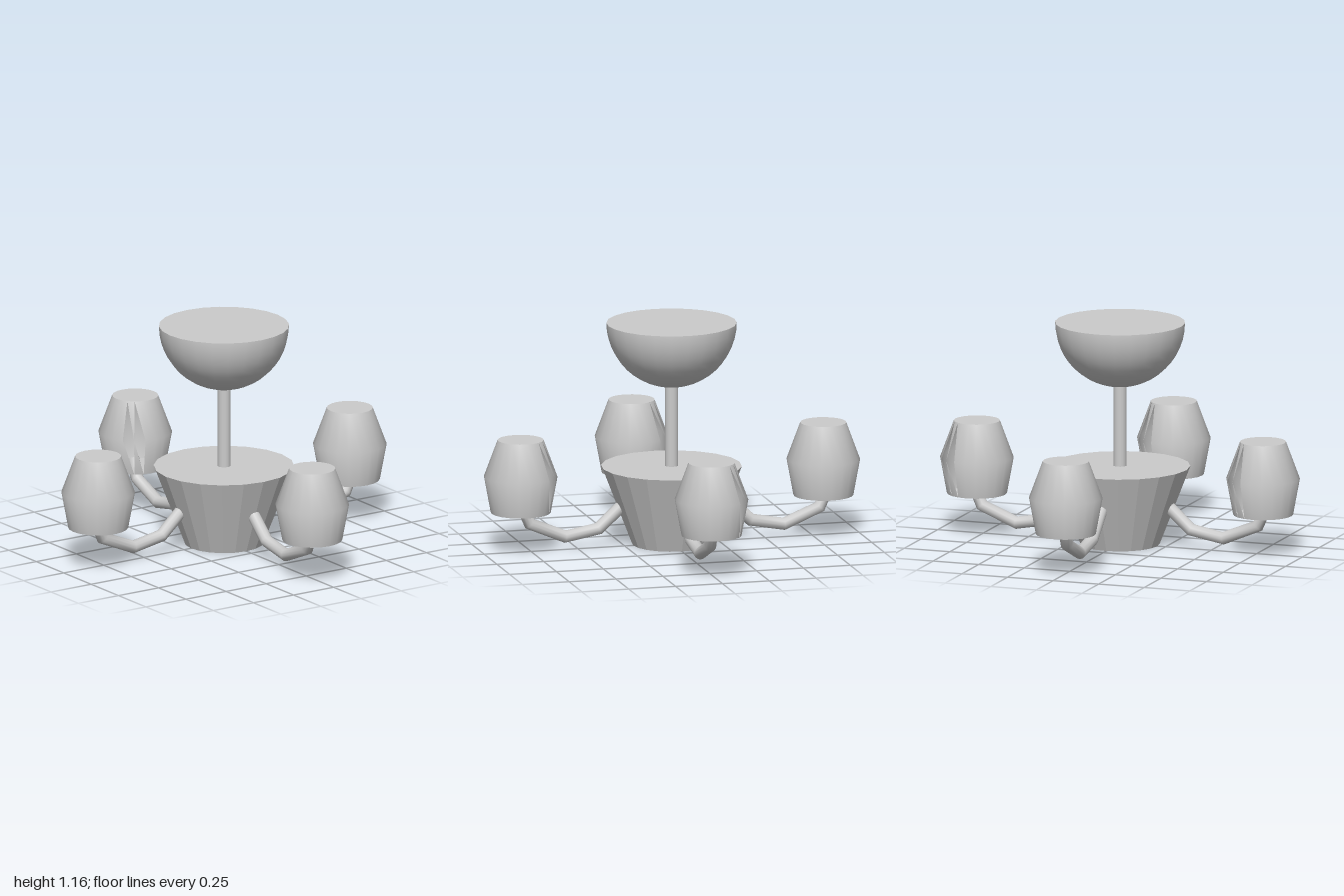
import * as THREE from 'three';

const grey = new THREE.MeshStandardMaterial({ color: 0xcccccc });
const greyFlat = new THREE.MeshStandardMaterial({ color: 0xcccccc, flatShading: true });
const greyOpen = new THREE.MeshStandardMaterial({ color: 0xcccccc, side: THREE.DoubleSide });

function part(name, geometry, material, y = 0) {
  const mesh = new THREE.Mesh(geometry, material);
  mesh.name = name;
  mesh.position.y = y;
  return mesh;
}

// Straight-segmented path with averaged tangents, so tube joints are mitred
class Polyline extends THREE.Curve {
  constructor(points) {
    super();
    this.points = points;
  }
  getPointAt(t) {
    return this.points[Math.round(t * (this.points.length - 1))].clone();
  }
  getTangentAt(t) {
    const p = this.points, i = Math.round(t * (p.length - 1));
    const tangent = new THREE.Vector3();
    if (i > 0) tangent.add(p[i].clone().sub(p[i - 1]).normalize());
    if (i < p.length - 1) tangent.add(p[i + 1].clone().sub(p[i]).normalize());
    return tangent.normalize();
  }
}

// Curved arm running outward along +x; shift moves the outer bends
function arm(shift) {
  const bends = [[0.22, 0.25], [0.28, 0.2], [0.39, 0.1], [0.567, 0.068], [0.757, 0.147], [0.8, 0.25]];
  const points = bends.map(([x, y]) => new THREE.Vector3(x + shift, y, 0));
  return part('arm', new THREE.TubeGeometry(new Polyline(points), points.length - 1, 0.033, 12), greyOpen);
}

// Barrel-shaped shade with a small jagged opening at its widest ring
function shade() {
  const group = new THREE.Group();
  group.name = 'shade';
  const profile = [[0.155, 0.21], [0.19, 0.4], [0.119, 0.592]].map(([r, y]) => new THREE.Vector2(r, y));
  const wall = new THREE.LatheGeometry(profile, 20);
  const index = Array.from(wall.index.array);
  const kept = [];
  for (let t = 0; t < index.length; t += 3) {
    const face = index.slice(t, t + 3);
    const column = Math.floor(t / 12);
    const onWidestRing = face.filter((v) => v % 3 === 1).length === 2;
    if (!(onWidestRing && (column === 7 || column === 8))) kept.push(...face);
  }
  wall.setIndex(kept);
  group.add(part('shadeWall', wall, greyOpen));
  const top = part('shadeTop', new THREE.CircleGeometry(0.119, 20), greyOpen, 0.592);
  top.rotation.x = -Math.PI / 2;
  const bottom = part('shadeBottom', new THREE.CircleGeometry(0.155, 20), greyOpen, 0.21);
  bottom.rotation.x = Math.PI / 2;
  group.add(top, bottom);
  return group;
}

export function createModel() {
  const model = new THREE.Group();
  model.name = 'chandelier';

  // Tapered central body and stem
  model.add(part('body', new THREE.CylinderGeometry(0.363, 0.205, 0.41, 20), greyFlat, 0.205));
  model.add(part('stem', new THREE.CylinderGeometry(0.034, 0.034, 0.46, 16), grey, 0.63));

  // Half-round ceiling cup with a flat lid
  const cup = new THREE.SphereGeometry(0.336, 24, 12, 0, Math.PI * 2, Math.PI / 2, Math.PI / 2);
  model.add(part('ceilingCup', cup, grey, 1.164));
  const lid = part('ceilingLid', new THREE.CircleGeometry(0.336, 24), grey, 1.164);
  lid.rotation.x = -Math.PI / 2;
  model.add(lid);

  // Four arms with shades: left, back, right, front
  const reach = [0.785, 0.81, 0.785, 0.805];
  for (let i = 0; i < 4; i++) {
    const angle = (i * Math.PI) / 2;
    const holder = arm(i === 1 ? 0.033 : 0);
    holder.rotation.y = angle;
    const lamp = shade();
    lamp.position.set(reach[i] * Math.cos(angle), 0, -reach[i] * Math.sin(angle));
    if (i === 1) lamp.rotation.y = Math.PI;
    model.add(holder, lamp);
  }
  return model;
}
